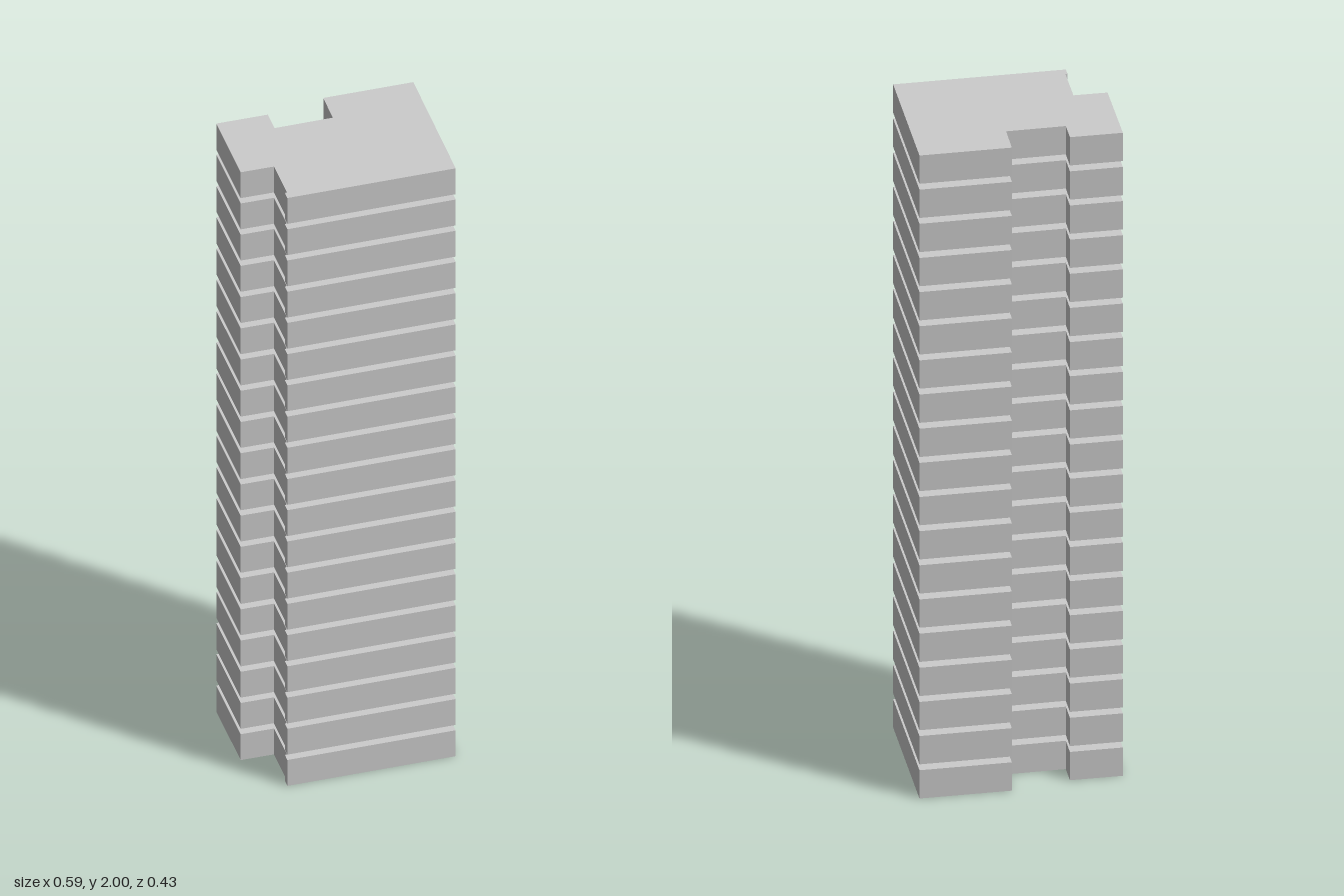
import * as THREE from 'three';

const FLOORS = 19;
const SLAB = 0.088;
const PITCH = (2 - SLAB) / (FLOORS - 1);

// Floor plan as [x, z] corners: notched at the back and on the right side
const PLAN = [
  [-0.276, -0.21], [-0.13, -0.198], [-0.135, -0.134], [0.03, -0.122],
  [0.038, -0.215], [0.293, -0.195], [0.261, 0.213], [-0.216, 0.176],
  [-0.214, 0.152], [-0.208, 0.151], [-0.199, 0.029], [-0.293, 0.021],
];

export function createModel() {
  const tower = new THREE.Group();
  tower.name = 'tower';
  const material = new THREE.MeshStandardMaterial({ color: 0xcccccc });

  // One storey block, laid flat so the extrusion rises along y
  const shape = new THREE.Shape(PLAN.map(([x, z]) => new THREE.Vector2(x, -z)));
  const geometry = new THREE.ExtrudeGeometry(shape, { depth: SLAB, bevelEnabled: false });
  geometry.rotateX(-Math.PI / 2);

  // Storeys stacked with an open gap between them
  for (let i = 0; i < FLOORS; i++) {
    const storey = new THREE.Mesh(geometry, material);
    storey.name = `storey${i + 1}`;
    storey.position.y = i * PITCH;
    tower.add(storey);
  }
  return tower;
}
